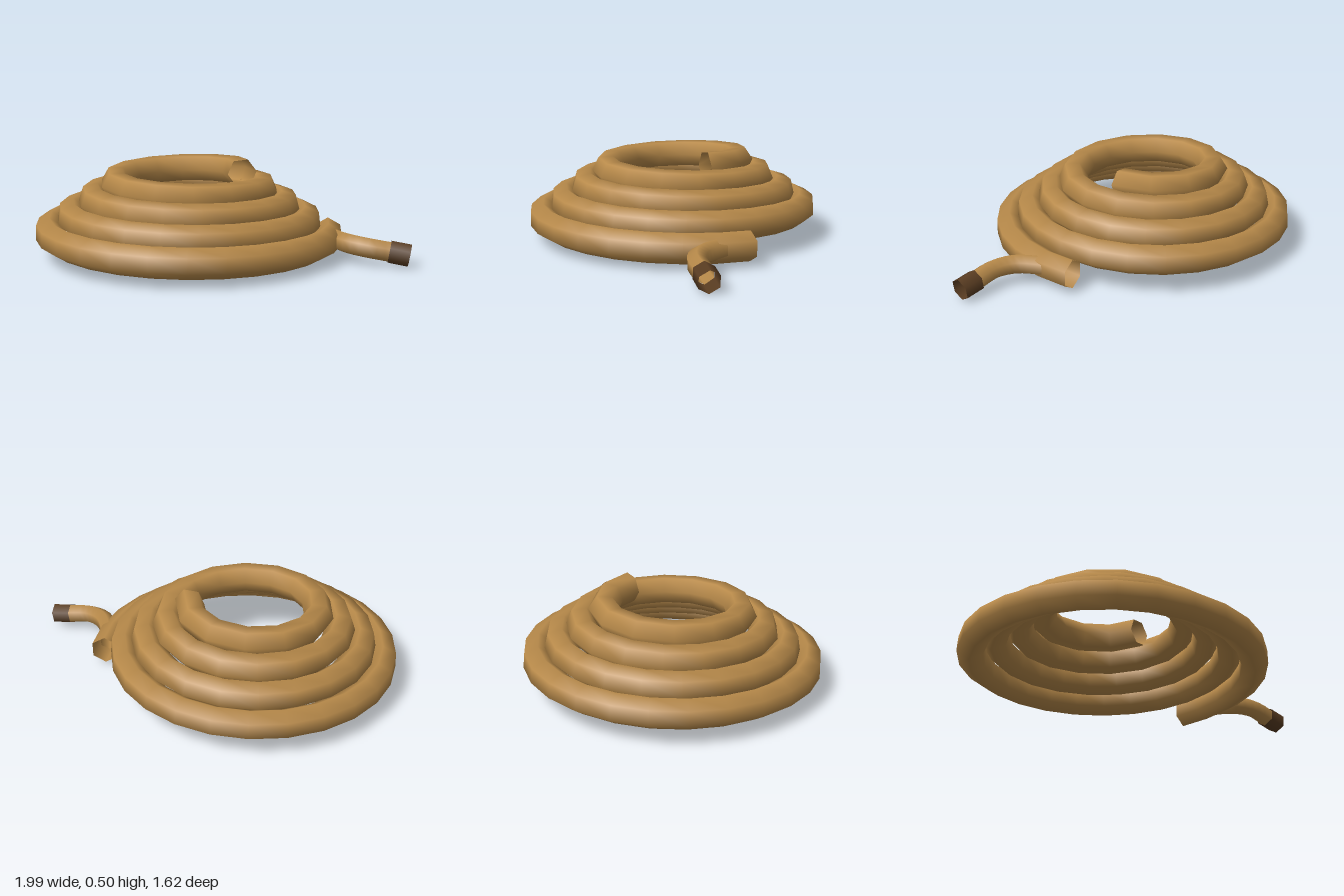
import * as THREE from 'three';

const ROPE_RADIUS = 0.08, TURNS = 4, SIDES = 6;

// Rising spiral that narrows with every turn
class SpiralCurve extends THREE.Curve {
  getPoint(u, target = new THREE.Vector3()) {
    const t = u * TURNS, a = t * Math.PI * 2, r = 0.8 - 0.12 * t;
    return target.set(-0.18 + r * Math.cos(a), 0.095 + 0.084 * t, -0.03 + r * Math.sin(a));
  }
}

function tube(name, curve, segments, radius, material) {
  const mesh = new THREE.Mesh(new THREE.TubeGeometry(curve, segments, radius, SIDES, false), material);
  mesh.name = name;
  return mesh;
}

export function createModel() {
  const rope = new THREE.MeshStandardMaterial({ color: 0xb88a4a, side: THREE.DoubleSide });
  rope.name = 'rope tan';
  const dark = new THREE.MeshStandardMaterial({ color: 0x5a3d22, side: THREE.DoubleSide });
  dark.name = 'dark brown';

  const model = new THREE.Group();
  model.name = 'ropeCoil';

  // Stacked coil, open at both ends
  const spiral = new SpiralCurve();
  spiral.arcLengthDivisions = 800;
  model.add(tube('coil', spiral, 80, ROPE_RADIUS, rope));

  // Loose end bending away from the bottom turn
  const tail = new THREE.CatmullRomCurve3([
    [0.61, 0.1, 0.06], [0.63, 0.1, 0.17], [0.68, 0.1, 0.285],
    [0.77, 0.092, 0.355], [0.895, 0.073, 0.383],
  ].map((p) => new THREE.Vector3(...p)));
  model.add(tube('looseEnd', tail, 12, 0.054, rope));

  // Dark binding around the tip
  const binding = new THREE.LineCurve3(
    new THREE.Vector3(0.883, 0.076, 0.38), new THREE.Vector3(0.985, 0.059, 0.405));
  model.add(tube('tipBinding', binding, 1, 0.06, dark));

  return model;
}
